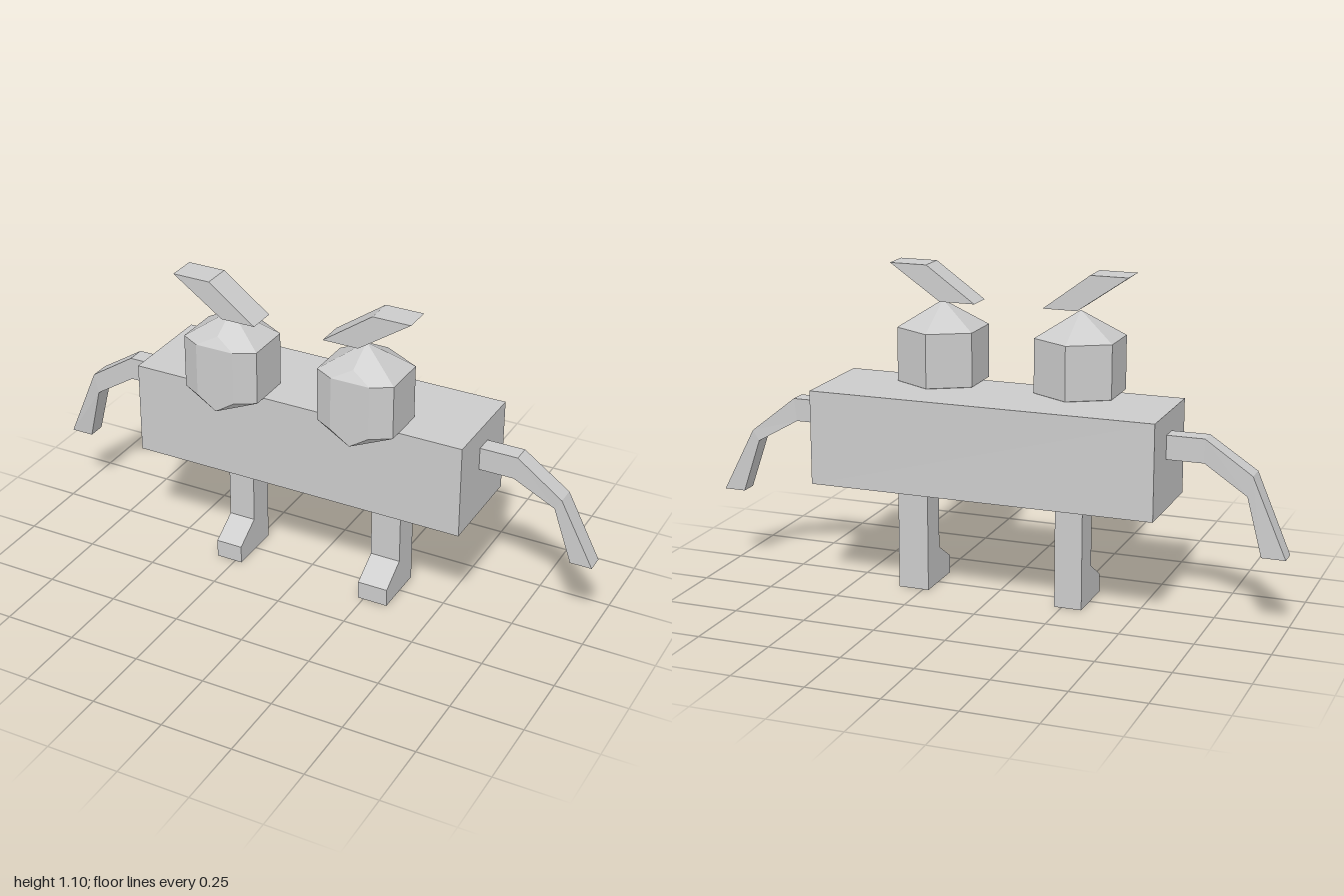
import * as THREE from 'three';
import { ConvexGeometry } from 'three/addons/geometries/ConvexGeometry.js';

const material = new THREE.MeshStandardMaterial({ color: 0xcccccc, flatShading: true });

function mesh(name, geometry) {
  const m = new THREE.Mesh(geometry, material);
  m.name = name;
  return m;
}

function prism(points, depth) {
  const shape = new THREE.Shape(points.map(([a, b]) => new THREE.Vector2(a, b)));
  return new THREE.ExtrudeGeometry(shape, { depth, bevelEnabled: false });
}

// Four-sided limb through stations [topX, topY, bottomX, bottomY, backZ, frontZ], ordered by rising x
function limb(stations) {
  const rings = stations.map(([tx, ty, bx, by, z0, z1]) =>
    [[tx, ty, z0], [tx, ty, z1], [bx, by, z1], [bx, by, z0]]);
  const pos = [];
  const quad = (a, b, c, d) => pos.push(...a, ...b, ...c, ...a, ...c, ...d);
  for (let i = 0; i < rings.length - 1; i++) {
    for (let j = 0; j < 4; j++) {
      const k = (j + 1) % 4;
      quad(rings[i][j], rings[i][k], rings[i + 1][k], rings[i + 1][j]);
    }
  }
  quad(...[...rings[0]].reverse());
  quad(...rings[rings.length - 1]);
  const g = new THREE.BufferGeometry();
  g.setAttribute('position', new THREE.Float32BufferAttribute(pos, 3));
  g.computeVertexNormals();
  return g;
}

// Leg and wedge-toed foot, drawn in side profile (z, y)
function leg(x0, x1) {
  const g = prism([[-0.09, 0], [0.105, 0], [0.105, 0.063], [0.01, 0.124], [0.01, 0.376], [-0.09, 0.376]], x1 - x0);
  return g.rotateY(-Math.PI / 2).translate(x1, 0, 0);
}

// Hexagonal eye with pointed top and bottom and a flattened front
function eye(cx) {
  const ring = [[0, -0.058], [0.135, 0.018], [0.135, 0.177], [0.068, 0.215],
    [-0.068, 0.215], [-0.135, 0.177], [-0.135, 0.018]];
  const pts = [];
  for (const y of [0.7, 0.885]) {
    for (const [x, z] of ring) pts.push(new THREE.Vector3(cx + x, y, z));
  }
  for (const [y, z] of [[0.975, 0.098], [0.92, 0.192], [0.655, 0.215], [0.612, 0.098]]) {
    pts.push(new THREE.Vector3(cx, y, z));
  }
  return new ConvexGeometry(pts);
}

export function createModel() {
  const model = new THREE.Group();
  model.name = 'blockCreature';

  // Body
  const body = mesh('body', new THREE.BoxGeometry(1.195, 0.323, 0.348));
  body.position.set(0.002, 0.537, -0.041);
  model.add(body);

  // Legs
  model.add(mesh('leftLeg', leg(0.23, 0.337)), mesh('rightLeg', leg(-0.32, -0.225)));

  // Eyes
  model.add(mesh('leftEye', eye(0.245)), mesh('rightEye', eye(-0.245)));

  // Slanted brows
  model.add(
    mesh('leftBrow', prism([[0.115, 0.975], [0.24, 0.975], [0.42, 1.097], [0.288, 1.097]], 0.095).translate(0, 0, 0.055)),
    mesh('rightBrow', prism([[-0.24, 0.975], [-0.12, 0.975], [-0.284, 1.097], [-0.416, 1.097]], 0.1).translate(0, 0, 0.072)),
  );

  // Drooping arms
  model.add(mesh('leftArm', limb([
    [0.598, 0.627, 0.598, 0.548, -0.075, -0.014],
    [0.73, 0.627, 0.72, 0.548, -0.075, -0.014],
    [0.883, 0.504, 0.86, 0.468, -0.092, -0.027],
    [1, 0.28, 0.925, 0.28, -0.09, -0.028],
  ])));
  model.add(mesh('rightArm', limb([
    [-1, 0.258, -0.92, 0.258, -0.093, -0.03],
    [-0.883, 0.522, -0.867, 0.453, -0.085, -0.015],
    [-0.722, 0.627, -0.722, 0.546, -0.077, -0.014],
    [-0.594, 0.627, -0.594, 0.546, -0.077, -0.016],
  ])));

  return model;
}
